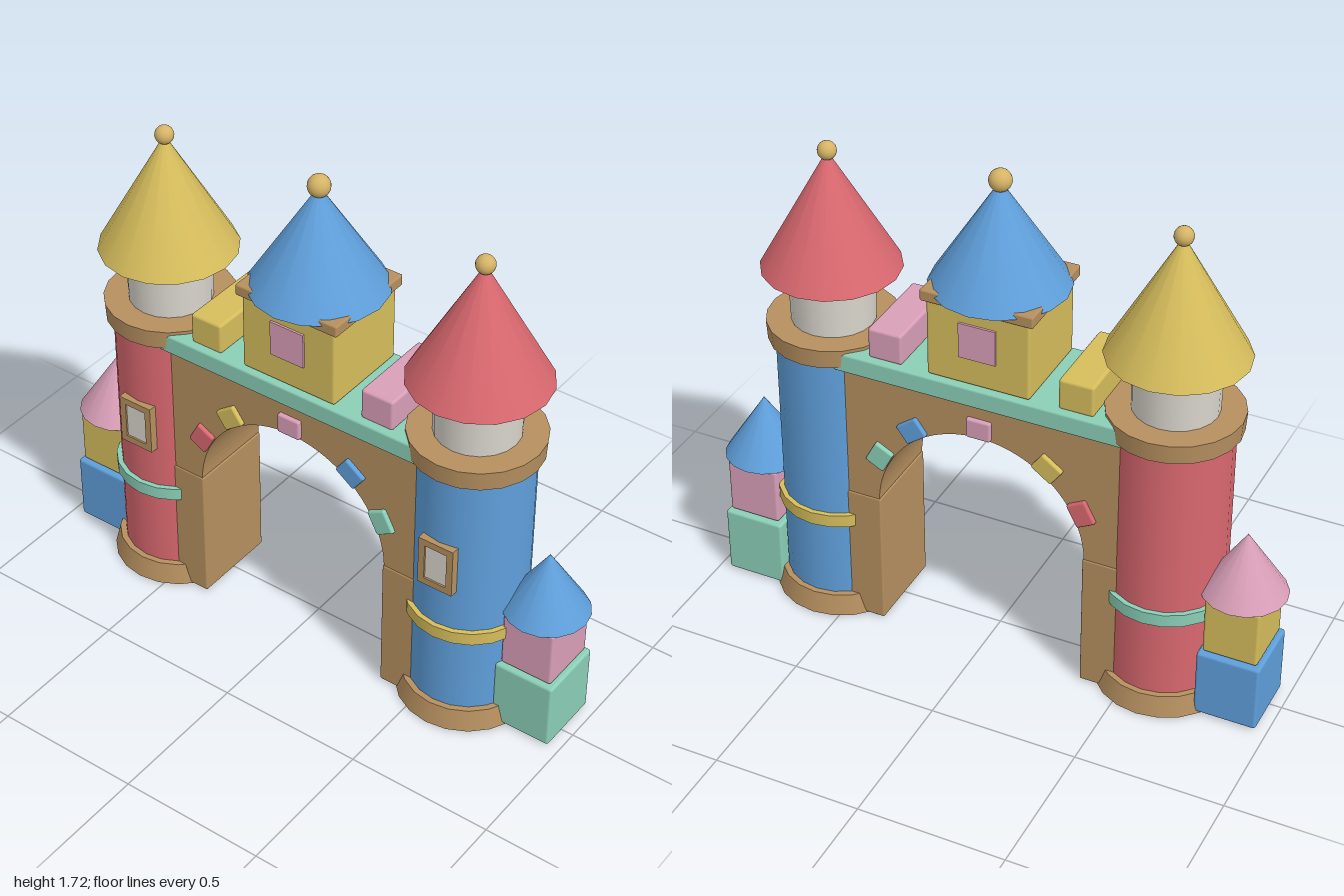
import * as THREE from 'three';
import { RoundedBoxGeometry } from 'three/addons/geometries/RoundedBoxGeometry.js';

function makeMaterial(name, color) {
  const m = new THREE.MeshStandardMaterial({ color });
  m.name = name;
  return m;
}

export function createModel() {
  const red = makeMaterial('red', 0xd9686f);
  const blue = makeMaterial('blue', 0x5f9fdb);
  const yellow = makeMaterial('yellow', 0xd6bd5c);
  const pink = makeMaterial('pink', 0xd99fb8);
  const teal = makeMaterial('teal', 0x8bcfb7);
  const brown = makeMaterial('brown', 0xb58f5f);
  const white = makeMaterial('offWhite', 0xdad6cd);
  const gold = makeMaterial('gold', 0xd6b466);

  const model = new THREE.Group();
  model.name = 'blockCastleGate';

  function add(parent, name, geometry, material, x = 0, y = 0, z = 0) {
    const mesh = new THREE.Mesh(geometry, material);
    mesh.name = name;
    mesh.position.set(x, y, z);
    parent.add(mesh);
    return mesh;
  }
  // Softly bevelled block, positioned by its centre
  function block(parent, name, w, h, d, material, x, y, z, bevel = 0.01) {
    return add(parent, name, new RoundedBoxGeometry(w, h, d, 2, bevel), material, x, y, z);
  }
  // Upright drum between two heights
  function drum(parent, name, rTop, rBottom, y0, y1, material, sides = 20) {
    return add(parent, name, new THREE.CylinderGeometry(rTop, rBottom, y1 - y0, sides), material, 0, (y0 + y1) / 2, 0);
  }
  function roof(parent, radius, y0, y1, material, ballRadius) {
    add(parent, 'roof', new THREE.ConeGeometry(radius, y1 - y0, 16), material, 0, (y0 + y1) / 2, 0);
    if (ballRadius) add(parent, 'finial', new THREE.SphereGeometry(ballRadius, 16, 12), gold, 0, y1, 0);
  }

  // Window frame outline with an opening
  const frameShape = new THREE.Shape([[-0.063, -0.088], [0.063, -0.088], [0.063, 0.088], [-0.063, 0.088]]
    .map(([x, y]) => new THREE.Vector2(x, y)));
  frameShape.holes.push(new THREE.Path([[-0.04, -0.064], [-0.04, 0.064], [0.04, 0.064], [0.04, -0.064]]
    .map(([x, y]) => new THREE.Vector2(x, y))));
  const frameGeometry = new THREE.ExtrudeGeometry(frameShape, { depth: 0.05, bevelEnabled: false });

  // Main towers
  const towers = [
    { name: 'rightTower', side: -1, body: red, band: teal, top: yellow },
    { name: 'leftTower', side: 1, body: blue, band: yellow, top: red },
  ];
  for (const t of towers) {
    const g = new THREE.Group();
    g.name = t.name;
    g.position.x = 0.59 * t.side;
    model.add(g);
    drum(g, 'base', 0.21, 0.228, 0, 0.072, brown);
    drum(g, 'shaft', 0.19, 0.19, 0.07, 0.99, t.body);
    drum(g, 'band', 0.207, 0.207, 0.355, 0.4, t.band);
    drum(g, 'collar', 0.218, 0.214, 0.985, 1.05, brown);
    drum(g, 'neck', 0.142, 0.137, 1.045, 1.25, white);
    roof(g, 0.228, 1.24, 1.645, t.top, 0.031);
    add(g, 'windowFrame', frameGeometry, brown, 0, 0.643, 0.157);
    add(g, 'windowPane', new THREE.BoxGeometry(0.084, 0.132, 0.008), white, 0, 0.643, 0.197);
  }

  // Small outer turrets made of stacked blocks
  const turrets = [
    { name: 'rightTurret', side: -1, lower: blue, upper: yellow, top: pink },
    { name: 'leftTurret', side: 1, lower: teal, upper: pink, top: blue },
  ];
  for (const t of turrets) {
    const g = new THREE.Group();
    g.name = t.name;
    g.position.set(0.857 * t.side, 0, -0.025);
    model.add(g);
    block(g, 'lowerBlock', 0.212, 0.24, 0.236, t.lower, 0, 0.125, 0);
    block(g, 'upperBlock', 0.184, 0.202, 0.21, t.upper, 0, 0.35, 0);
    roof(g, 0.141, 0.453, 0.67, t.top, 0);
  }

  // Gate: pillars, arch and deck
  const gate = new THREE.Group();
  gate.name = 'gate';
  model.add(gate);
  for (const s of [-1, 1]) {
    block(gate, 'pillar', 0.17, 0.488, 0.306, brown, s * 0.443, 0.246, 0, 0.006);
  }
  const archShape = new THREE.Shape();
  archShape.moveTo(0.53, 0.49);
  archShape.lineTo(0.53, 0.975);
  archShape.lineTo(-0.53, 0.975);
  archShape.lineTo(-0.53, 0.49);
  archShape.lineTo(-0.363, 0.49);
  archShape.absarc(0, 0.48, 0.363, Math.PI - 0.028, 0.028, true);
  const archGeometry = new THREE.ExtrudeGeometry(archShape, { depth: 0.3, bevelEnabled: false, curveSegments: 20 });
  add(gate, 'arch', archGeometry, brown, 0, 0, -0.15);
  block(gate, 'deck', 1.0, 0.068, 0.354, teal, 0, 1.004, 0, 0.008);

  // Coloured arch stones, showing on both faces
  const stones = [[152, red], [126, yellow], [90, pink], [54, blue], [28, teal]];
  for (const [deg, material] of stones) {
    const a = THREE.MathUtils.degToRad(deg);
    const stone = block(gate, 'archStone', 0.084, 0.07, 0.33, material,
      0.4 * Math.cos(a), 0.48 + 0.4 * Math.sin(a), 0, 0.007);
    stone.rotation.z = a - Math.PI / 2;
  }

  // Battlement blocks on the deck
  for (const [s, material] of [[-1, yellow], [1, pink]]) {
    block(gate, 'battlement', 0.118, 0.108, 0.305, material, s * 0.326, 1.09, 0);
  }

  // Central gatehouse
  const house = new THREE.Group();
  house.name = 'gatehouse';
  model.add(house);
  block(house, 'walls', 0.35, 0.275, 0.32, yellow, 0, 1.178, 0);
  block(house, 'cornice', 0.38, 0.04, 0.345, brown, 0, 1.329, 0, 0.006);
  for (const s of [-1, 1]) {
    add(house, 'window', new THREE.BoxGeometry(0.125, 0.122, 0.009), pink, 0, 1.2, s * 0.163);
  }
  roof(house, 0.225, 1.332, 1.685, blue, 0.037);

  return model;
}
